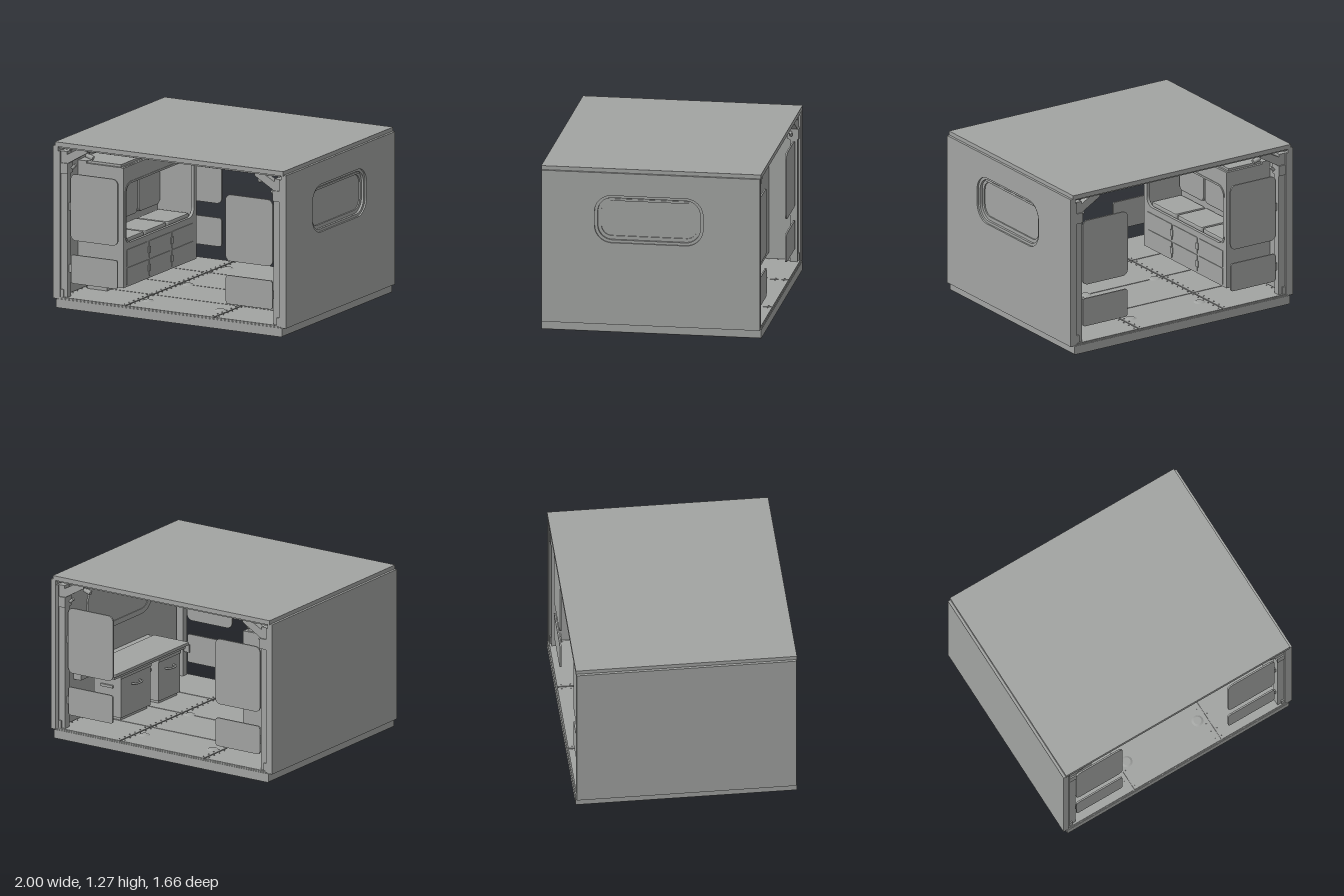
import * as THREE from 'three';

const grey = new THREE.MeshStandardMaterial({ color: 0xa2a4a2 });
grey.name = 'panelGrey';

// Rounded rectangle centred on (cx, cy), usable as outline or hole
function roundRect(w, h, r, cx = 0, cy = 0, Type = THREE.Shape) {
  const s = new Type(), x = w / 2 - r, y = h / 2 - r;
  s.absarc(cx + x, cy + y, r, 0, Math.PI / 2);
  s.absarc(cx - x, cy + y, r, Math.PI / 2, Math.PI);
  s.absarc(cx - x, cy - y, r, Math.PI, Math.PI * 1.5);
  s.absarc(cx + x, cy - y, r, Math.PI * 1.5, Math.PI * 2);
  s.closePath();
  return s;
}
const extrude = (shape, depth, bevel = 0) => new THREE.ExtrudeGeometry(shape, {
  depth: depth - 2 * bevel, curveSegments: 8, bevelEnabled: bevel > 0,
  bevelThickness: bevel, bevelSize: bevel, bevelOffset: -bevel, bevelSegments: 2,
}).translate(0, 0, bevel);

function add(parent, name, geometry, x = 0, y = 0, z = 0) {
  const m = new THREE.Mesh(geometry, grey);
  m.name = name;
  m.position.set(x, y, z);
  parent.add(m);
  return m;
}
// Box given by its limits
const box = (parent, name, x0, x1, y0, y1, z0, z1) => add(parent, name,
  new THREE.BoxGeometry(x1 - x0, y1 - y0, z1 - z0), (x0 + x1) / 2, (y0 + y1) / 2, (z0 + z1) / 2);
// Rounded slab facing x: shape coordinates are (-z, y), thickness runs towards +x
const sidePlate = (parent, name, shape, x, depth, bevel = 0) =>
  add(parent, name, extrude(shape, depth, bevel).rotateY(Math.PI / 2), x);
// Rounded slab lying flat, thickness runs upwards
const flatPlate = (parent, name, w, d, r, thick, x, y, z, bevel = 0) =>
  add(parent, name, extrude(roundRect(w, d, r), thick, bevel).rotateX(-Math.PI / 2), x, y, z);

function buildShell(g) {
  // Floor slab, roof slab and plain wall
  add(g, 'floorSlab', extrude(roundRect(1.94, 0.068, 0.01, 0, 0.034), 1.66), 0, 0, -0.83);
  box(g, 'roof', -0.98, 0.98, 1.235, 1.27, -0.83, 0.83);
  box(g, 'plainWall', -1, -0.957, 0.068, 1.24, -0.825, 0.825);

  // Window wall with a stepped frame
  const cz = -0.015, cy = 0.883;
  const ring = (w, h, r, w2, h2, r2) => {
    const s = roundRect(w, h, r, cz, cy);
    s.holes.push(roundRect(w2, h2, r2, cz, cy, THREE.Path));
    return s;
  };
  const wall = new THREE.Shape([[-0.825, 0.068], [0.825, 0.068], [0.825, 1.24], [-0.825, 1.24]]
    .map(p => new THREE.Vector2(...p)));
  wall.holes.push(roundRect(0.82, 0.365, 0.13, cz, cy, THREE.Path));
  sidePlate(g, 'windowWall', wall, 0.957, 0.043);
  sidePlate(g, 'windowOuterFrame', ring(0.82, 0.365, 0.13, 0.775, 0.325, 0.11), 0.955, 0.032);
  sidePlate(g, 'windowInnerFrame', ring(0.78, 0.33, 0.11, 0.725, 0.27, 0.08), 0.95, 0.018);
  sidePlate(g, 'windowTrim', ring(0.86, 0.405, 0.15, 0.775, 0.325, 0.11), 0.945, 0.012);
  sidePlate(g, 'windowPane', roundRect(0.75, 0.3, 0.09, cz, cy), 0.95, 0.008);
  box(g, 'windowShade', 0.955, 0.975, 1.02, 1.036, -0.355, 0.385);
}

function buildFloor(g) {
  // Floor panels separated by narrow grooves, with rows of fasteners
  box(g, 'underfloor', -0.95, 0.95, 0.066, 0.074, -0.825, 0.825);
  const stud = new THREE.CylinderGeometry(0.005, 0.005, 0.004, 8);
  for (const [x, w] of [[-0.665, 0.56], [0, 0.75], [0.665, 0.56]])
    for (let row = 0; row < 4; row++) {
      const z = -0.618 + row * 0.412;
      box(g, 'floorPanel', x - w / 2, x + w / 2, 0.073, 0.082, z - 0.202, z + 0.202);
      for (const s of [-1, 1])
        for (let i = 0; i < 6; i++)
          add(g, 'floorStud', stud, x + s * (w / 2 - 0.02), 0.084, z - 0.17 + i * 0.068);
    }
  // Recessed tie-down cups
  for (const x of [-0.31, 0.31])
    for (const z of [-0.6, 0, 0.6])
      add(g, 'tieDown', new THREE.CylinderGeometry(0.03, 0.045, 0.008, 16), x, 0.086, z);
}

function buildCeiling(g) {
  box(g, 'ceilingLining', -0.95, 0.95, 1.224, 1.236, -0.82, 0.82);
  for (const s of [-1, 1]) {
    for (let row = 0; row < 4; row++) {
      const z = -0.6 + row * 0.4;
      flatPlate(g, 'ceilingPanel', 0.54, 0.36, 0.03, 0.014, s * 0.445, 1.211, z, 0.004);
      flatPlate(g, 'ceilingInset', 0.4, 0.26, 0.02, 0.008, s * 0.4, 1.205, z, 0.002);
    }
    // Corner rail between wall and ceiling
    const x = s * 0.92;
    box(g, 'ceilingRail', x - 0.03, x + 0.03, 1.12, 1.2, -0.74, 0.74);
  }
  for (const z of [-0.55, 0, 0.55])
    flatPlate(g, 'ceilingLight', 0.2, 0.34, 0.03, 0.025, 0, 1.2, z, 0.006);
}

// Corner post, diagonal brace, lamp and end panels; built for +x, then mirrored by sign
function buildEndFrame(g, sx, sz) {
  const part = (name, x0, x1, y0, y1, z0, z1) => box(g, name,
    Math.min(sx * x0, sx * x1), Math.max(sx * x0, sx * x1), y0, y1,
    Math.min(sz * z0, sz * z1), Math.max(sz * z0, sz * z1));
  part('cornerPost', 0.885, 0.945, 0.08, 1.06, 0.75, 0.805);
  part('postEdge', 0.94, 0.96, 0.07, 1.2, 0.77, 0.82);
  part('postFoot', 0.915, 0.958, 0.08, 0.14, 0.73, 0.815);
  part('postHead', 0.88, 0.958, 1.03, 1.11, 0.73, 0.815);
  part('postCap', 0.89, 0.95, 1.11, 1.2, 0.745, 0.805);
  const brace = new THREE.Shape([[0.95, 1.1], [0.9, 1.1], [0.72, 1.205], [0.72, 1.232], [0.79, 1.232], [0.95, 1.145]]
    .map(([x, y]) => new THREE.Vector2(sx * x, y)));
  add(g, 'cornerBrace', extrude(brace, 0.05), 0, 0, sz * 0.78 - 0.025);

  // Swivel lamp below the brace
  const lamp = add(g, 'lamp', new THREE.CylinderGeometry(0.018, 0.018, 0.06, 12), sx * 0.74, 1.16, sz * 0.72);
  lamp.rotation.z = Math.PI / 2 + sx * 0.3;
  add(g, 'lampStem', new THREE.CylinderGeometry(0.007, 0.007, 0.06, 8), sx * 0.75, 1.19, sz * 0.72);
  const hook = add(g, 'hook', new THREE.CylinderGeometry(0.012, 0.012, 0.04, 10), sx * 0.855, 1.08, sz * 0.76);
  hook.rotation.z = sx * 0.8;

  // Rounded upper and lower end panels
  for (const [name, w, y0, y1, r] of [['upperEndPanel', 0.405, 0.52, 1.03, 0.045], ['lowerEndPanel', 0.4, 0.19, 0.41, 0.02]]) {
    add(g, name, extrude(roundRect(w, y1 - y0, r), 0.012), sx * 0.665, (y0 + y1) / 2, sz * 0.785 - 0.006);
    part('panelBracket', 0.84, 0.9, (y0 + y1) / 2 - 0.03, (y0 + y1) / 2 + 0.03, 0.765, 0.78);
  }
}

function buildBunk(g) {
  const bunk = new THREE.Group();
  bunk.name = 'bunk';
  g.add(bunk);
  // Plinth, base, end walls, back and top
  box(bunk, 'plinth', -0.9, -0.73, 0.082, 0.135, -0.54, 0.48);
  box(bunk, 'base', -0.89, -0.585, 0.13, 0.44, -0.58, 0.52);
  for (const z of [-0.58, 0.495]) box(bunk, 'endWall', -0.89, -0.585, 0.44, 1.05, z, z + 0.025);
  box(bunk, 'backWall', -0.957, -0.885, 0.13, 1.07, -0.58, 0.52);
  box(bunk, 'topShelf', -0.89, -0.585, 1.03, 1.052, -0.58, 0.52);
  box(bunk, 'topLip', -0.89, -0.6, 1.05, 1.07, -0.56, 0.5);
  // Front face with a large rounded opening
  const face = new THREE.Shape([[-0.52, 0.13], [0.58, 0.13], [0.58, 1.05], [-0.52, 1.05]]
    .map(p => new THREE.Vector2(...p)));
  face.holes.push(roundRect(1.02, 0.45, 0.07, 0.03, 0.69, THREE.Path));
  sidePlate(bunk, 'frontFace', face, -0.588, 0.02);
  const trim = roundRect(1.05, 0.48, 0.085, 0.03, 0.69);
  trim.holes.push(roundRect(1.02, 0.45, 0.07, 0.03, 0.69, THREE.Path));
  sidePlate(bunk, 'openingTrim', trim, -0.572, 0.008);
  // Seat and back cushions, front doors and latches
  for (let i = 0; i < 3; i++) {
    const z = -0.37 + i * 0.34;
    flatPlate(bunk, 'seatCushion', 0.27, 0.325, 0.02, 0.05, -0.735, 0.438, z, 0.012);
    sidePlate(bunk, 'backCushion', roundRect(0.325, 0.38, 0.04, -z, 0.72), -0.888, 0.04, 0.012);
    sidePlate(bunk, 'baseDoor', roundRect(0.33, 0.13, 0.01, -z, 0.21), -0.57, 0.007);
    sidePlate(bunk, 'baseDoor', roundRect(0.33, 0.13, 0.01, -z, 0.35), -0.57, 0.007);
  }
  for (const z of [-0.2, 0.14])
    for (const y of [0.21, 0.35]) box(bunk, 'latch', -0.566, -0.556, y - 0.025, y + 0.025, z - 0.015, z + 0.015);
}

function buildBench(g) {
  const bench = new THREE.Group();
  bench.name = 'workBench';
  g.add(bench);
  // Worktop with apron and wall support
  flatPlate(bench, 'worktop', 0.32, 0.98, 0.015, 0.025, 0.74, 0.475, -0.1, 0.005);
  box(bench, 'apron', 0.6, 0.9, 0.452, 0.478, -0.57, 0.37);
  box(bench, 'wallRail', 0.89, 0.958, 0.4, 0.49, -0.59, 0.39);
  // Storage chests with handles
  for (const [z0, z1] of [[-0.42, -0.03], [0.08, 0.36]]) {
    const z = (z0 + z1) / 2;
    box(bench, 'chest', 0.645, 0.89, 0.105, 0.445, z0, z1);
    box(bench, 'chestFoot', 0.66, 0.88, 0.08, 0.107, z0 + 0.02, z1 - 0.02);
    box(bench, 'chestLid', 0.638, 0.89, 0.41, 0.452, z0 - 0.006, z1 + 0.006);
    const path = new THREE.CatmullRomCurve3([[0.645, -0.05], [0.615, -0.045], [0.615, 0.045], [0.645, 0.05]]
      .map(([x, dz]) => new THREE.Vector3(x, 0.34, z + dz)));
    add(bench, 'handle', new THREE.TubeGeometry(path, 16, 0.008, 8));
    for (const e of [z0, z1]) box(bench, 'endHandle', 0.71, 0.82, 0.33, 0.35, e - 0.015, e + 0.015);
  }
}

export function createModel() {
  const g = new THREE.Group();
  g.name = 'shelterModule';
  buildShell(g);
  buildFloor(g);
  buildCeiling(g);
  for (const sx of [-1, 1]) for (const sz of [-1, 1]) buildEndFrame(g, sx, sz);
  buildBunk(g);
  buildBench(g);
  return g;
}
